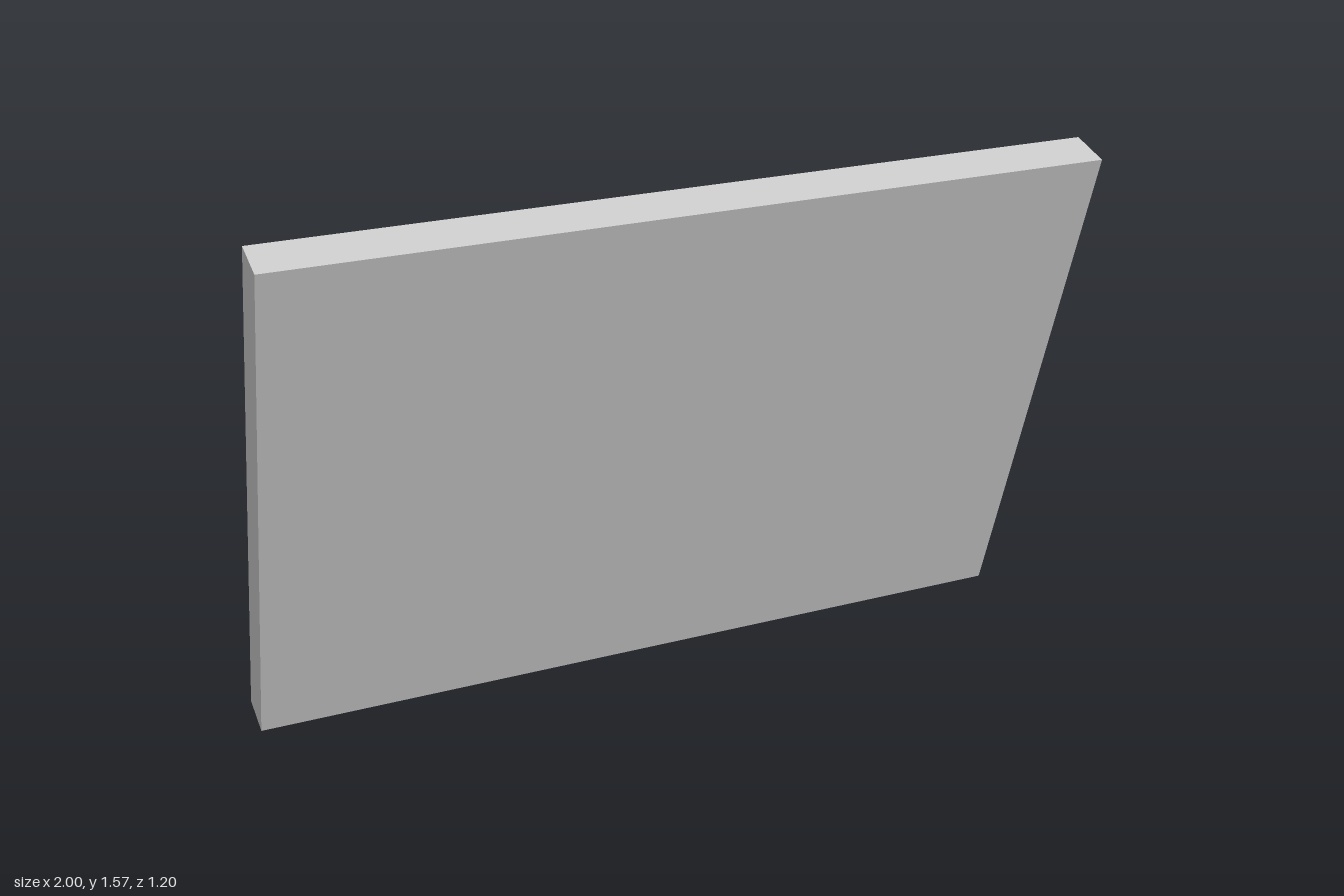
import * as THREE from 'three';

const material = new THREE.MeshStandardMaterial({ color: 0xcccccc, flatShading: true });

// Side profile given as [z, y] points, extruded across x and centred
function sideProfile(name, points, width, x = 0) {
  const shape = new THREE.Shape(points.map(([z, y]) => new THREE.Vector2(z, y)));
  const geometry = new THREE.ExtrudeGeometry(shape, { depth: width, bevelEnabled: false });
  geometry.translate(0, 0, -width / 2).rotateY(-Math.PI / 2).translate(x, 0, 0);
  const mesh = new THREE.Mesh(geometry, material);
  mesh.name = name;
  return mesh;
}

// Square wall block whose front half tapers to a smaller face
function wallBlock() {
  const size = 0.93, backZ = -0.6, midZ = -0.43, frontZ = -0.245;
  const box = new THREE.BoxGeometry(size, size, 2, 1, 1, 2);
  const p = box.attributes.position;
  for (let i = 0; i < p.count; i++) {
    const layer = Math.round(p.getZ(i));
    const taper = layer > 0 ? 0.662 : 1;
    p.setXYZ(i, p.getX(i) * taper, p.getY(i) * taper, [backZ, midZ, frontZ][layer + 1]);
  }
  const geometry = box.toNonIndexed();
  geometry.computeVertexNormals();
  const mesh = new THREE.Mesh(geometry, material);
  mesh.name = 'wallBlock';
  mesh.position.set(0.004, size / 2 + 0.002, 0);
  return mesh;
}

export function createModel() {
  const model = new THREE.Group();
  model.name = 'tiltedPanelMount';

  model.add(
    // Large tilted panel
    sideProfile('panel', [[0.6, 1.545], [0.5, 1.572], [0.155, 0.285], [0.255, 0.26]], 2),
    // Arm from the panel back into the head
    sideProfile('arm', [[0.352, 1.015], [-0.165, 1.153], [-0.213, 0.975], [0.304, 0.838]], 0.19, 0.002),
    // Head joining arm and neck, with a clipped rear corner
    sideProfile('head', [[-0.115, 1.181], [-0.32, 1.236], [-0.385, 1.2], [-0.44, 0.994], [-0.184, 0.926]], 0.264, 0.002),
    // Short neck sinking into the wall block
    sideProfile('neck', [[-0.22, 0.955], [-0.395, 1.0], [-0.44, 0.83], [-0.273, 0.735]], 0.19, 0.002),
    wallBlock(),
  );
  return model;
}
